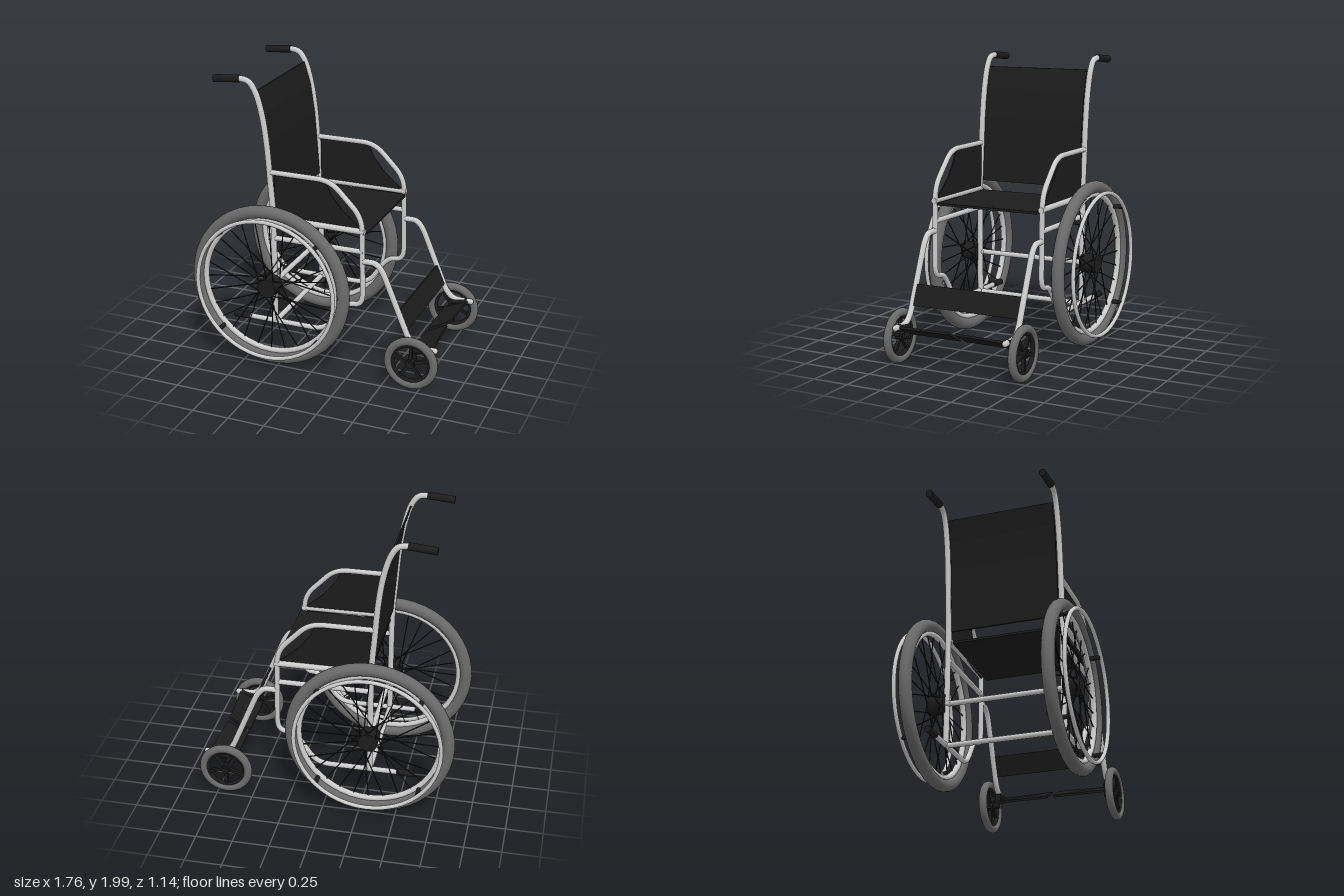
import * as THREE from 'three';

const metal = new THREE.MeshStandardMaterial({ color: 0xcccccc });
const black = new THREE.MeshStandardMaterial({ color: 0x1c1c1c });
const fabric = new THREE.MeshStandardMaterial({ color: 0x1c1c1c, side: THREE.DoubleSide });
const rubber = new THREE.MeshStandardMaterial({ color: 0x6a6a6a });

const V = (x, y, z) => new THREE.Vector3(x, y, z);

function add(parent, name, geometry, material) {
  const mesh = new THREE.Mesh(geometry, material);
  mesh.name = name;
  parent.add(mesh);
  return mesh;
}

// Straight round bar between two points
function rod(parent, name, a, b, r, material = metal, sides = 16) {
  const mesh = add(parent, name, new THREE.CylinderGeometry(r, r, a.distanceTo(b), sides), material);
  mesh.position.copy(a).lerp(b, 0.5);
  mesh.quaternion.setFromUnitVectors(V(0, 1, 0), b.clone().sub(a).normalize());
  return mesh;
}

// Bent tube: [x, y] corners in a side plane, each rounded by the bend length
function bentTube(parent, name, corners, z, bend, r) {
  const pts = corners.map(([x, y]) => V(x, y, z));
  const path = new THREE.CurvePath();
  let from = pts[0];
  for (let i = 1; i < pts.length - 1; i++) {
    const p = pts[i];
    const toward = (q) => p.clone().add(q.clone().sub(p).setLength(Math.min(bend, p.distanceTo(q) * 0.45)));
    const enter = toward(pts[i - 1]), leave = toward(pts[i + 1]);
    path.add(new THREE.LineCurve3(from, enter));
    path.add(new THREE.QuadraticBezierCurve3(enter, p, leave));
    from = leave;
  }
  path.add(new THREE.LineCurve3(from, pts[pts.length - 1]));
  add(parent, name, new THREE.TubeGeometry(path, 90, r, 14), metal);
  for (const end of [pts[0], pts[pts.length - 1]]) {
    add(parent, name + 'End', new THREE.SphereGeometry(r, 14, 8), metal).position.copy(end);
  }
}

// Flat sheet from a side outline of [x, y], extruded along z from z0 to z1
function sheet(parent, name, outline, z0, z1) {
  const shape = new THREE.Shape(outline.map(([x, y]) => new THREE.Vector2(x, y)));
  const geometry = new THREE.ExtrudeGeometry(shape, { depth: z1 - z0, bevelEnabled: false });
  geometry.translate(0, 0, z0);
  return add(parent, name, geometry, fabric);
}

function rearWheel(s) {
  const wheel = new THREE.Group();
  wheel.name = 'rearWheel';
  add(wheel, 'tyre', new THREE.TorusGeometry(0.528, 0.043, 16, 48), rubber);
  add(wheel, 'rim', new THREE.TorusGeometry(0.478, 0.02, 12, 48), metal);
  add(wheel, 'pushRim', new THREE.TorusGeometry(0.493, 0.014, 10, 48), metal).position.z = s * 0.094;
  rod(wheel, 'hub', V(0, 0, -0.055), V(0, 0, 0.06), 0.065, black, 24);
  // Crossed spokes from alternating hub flanges
  for (let i = 0; i < 28; i++) {
    const a = (i / 28) * Math.PI * 2;
    const h = a + (i % 4 < 2 ? 1 : -1) * 0.9;
    rod(wheel, 'spoke', V(Math.cos(h) * 0.055, Math.sin(h) * 0.055, i % 2 ? 0.045 : -0.045),
      V(Math.cos(a) * 0.47, Math.sin(a) * 0.47, 0), 0.004, black, 6);
  }
  // Push rim standoffs
  for (let i = 0; i < 4; i++) {
    const a = Math.PI / 4 + (i * Math.PI) / 2, x = Math.cos(a) * 0.489, y = Math.sin(a) * 0.489;
    rod(wheel, 'pushRimMount', V(x, y, 0), V(x, y, s * 0.09), 0.015, black, 10);
  }
  wheel.position.set(-0.31, 0.58, s * 0.465);
  return wheel;
}

function frontWheel(s) {
  const wheel = new THREE.Group();
  wheel.name = 'frontWheel';
  add(wheel, 'tyre', new THREE.TorusGeometry(0.157, 0.028, 14, 36), rubber);
  add(wheel, 'rim', new THREE.TorusGeometry(0.13, 0.015, 10, 36), black);
  rod(wheel, 'hub', V(0, 0, -0.025), V(0, 0, 0.025), 0.03, black, 18);
  for (let i = 0; i < 5; i++) {
    const a = s * Math.PI / 2 + (i / 5) * Math.PI * 2;
    const spoke = add(wheel, 'spoke', new THREE.BoxGeometry(0.125, 0.022, 0.022), black);
    spoke.position.set(Math.cos(a) * 0.07, Math.sin(a) * 0.07, 0);
    spoke.rotation.z = a;
  }
  wheel.position.set(0.69, 0.195, s * 0.455);
  return wheel;
}

// Rear upright curve, shared by the tubes and the backrest
const backCurve = [[-0.31, 1.1], [-0.325, 1.3], [-0.345, 1.55], [-0.375, 1.75], [-0.42, 1.9]];

function sideFrame(s) {
  const side = new THREE.Group();
  side.name = s > 0 ? 'sideFrameNear' : 'sideFrameFar';
  const z = s * 0.4;

  // Rear upright with push handle
  const upright = new THREE.CatmullRomCurve3(
    [[-0.305, 0.29], [-0.305, 0.7], ...backCurve, [-0.465, 1.962], [-0.53, 1.975], [-0.69, 1.96]].map(([x, y]) => V(x, y, z)));
  add(side, 'rearUpright', new THREE.TubeGeometry(upright, 90, 0.02, 14), metal);
  rod(side, 'handGrip', V(-0.71, 1.958, z), V(-0.525, 1.975, z), 0.025, black, 18);

  // Armrest running down into the front upright and back to the tipping lever
  bentTube(side, 'armrestAndFrontPost', [[-0.32, 1.365], [0.1, 1.365], [0.32, 1.14], [0.33, 0.525],
    [0.21, 0.52], [0.06, 0.295], [-0.52, 0.295]], z, 0.09, 0.018);
  rod(side, 'leverTip', V(-0.61, 0.295, z), V(-0.49, 0.295, z), 0.023, black, 16);
  rod(side, 'seatRail', V(-0.31, 1.045, z), V(0.34, 1.045, z), 0.02);
  rod(side, 'lowerRail', V(-0.31, 0.905, z), V(0.33, 0.905, z), 0.018);

  // Side guard with a concave front edge
  sheet(side, 'sideGuard', [[-0.3, 1.04], [0.3, 1.02], [0.3, 1.07], [0.18, 1.17], [0.1, 1.27], [0.06, 1.36], [-0.3, 1.36]],
    s * 0.39 - 0.004, s * 0.39 + 0.004);

  // Footrest leg
  bentTube(side, 'footrestLeg', [[0.33, 0.84], [0.445, 0.84], [0.675, 0.285], [0.835, 0.285]], z, 0.11, 0.02);
  rod(side, 'footplateSleeve', V(0.69, 0.27, z), V(0.81, 0.28, z), 0.026, black);
  rod(side, 'frontForkArm', V(0.69, 0.28, z), V(0.69, 0.185, z), 0.02, black);
  rod(side, 'frontAxle', V(0.69, 0.195, s * 0.385), V(0.69, 0.195, s * 0.485), 0.018, black);

  // Footplate with toe edge raised, narrowing toward the middle
  const plate = sheet(side, 'footplate', [[0.65, 0.2], [0.82, 0.28], [0.815, 0.295], [0.645, 0.215]],
    s > 0 ? 0.025 : -0.39, s > 0 ? 0.39 : -0.025);
  const p = plate.geometry.attributes.position;
  for (let i = 0; i < p.count; i++) {
    if (p.getX(i) > 0.7 && Math.abs(p.getZ(i)) < 0.1) p.setX(i, p.getX(i) - 0.02);
  }
  plate.geometry.computeVertexNormals();

  // Wheel axle stub
  rod(side, 'axleStub', V(-0.31, 0.58, s * 0.37), V(-0.31, 0.58, s * 0.45), 0.02);
  side.add(rearWheel(s), frontWheel(s));
  return side;
}

export function createModel() {
  const model = new THREE.Group();
  model.name = 'wheelchair';
  model.add(sideFrame(1), sideFrame(-1));

  // Cross bars
  rod(model, 'axleBar', V(-0.31, 0.58, -0.4), V(-0.31, 0.58, 0.4), 0.018);
  rod(model, 'lowerCrossBar', V(-0.305, 0.29, -0.4), V(-0.305, 0.29, 0.4), 0.018);

  // Seat, backrest and calf strap
  sheet(model, 'seat', [[-0.3, 1.018], [0.345, 1.018], [0.345, 1.034], [-0.3, 1.034]], -0.37, 0.37);
  const front = backCurve.map(([x, y]) => [x + 0.006, y]);
  const rear = backCurve.map(([x, y]) => [x - 0.006, y]).reverse();
  sheet(model, 'backrest', [...front, ...rear], -0.375, 0.375);
  sheet(model, 'calfStrap', [[0.628, 0.39], [0.642, 0.395], [0.586, 0.53], [0.572, 0.525]], -0.395, 0.395);
  return model;
}
